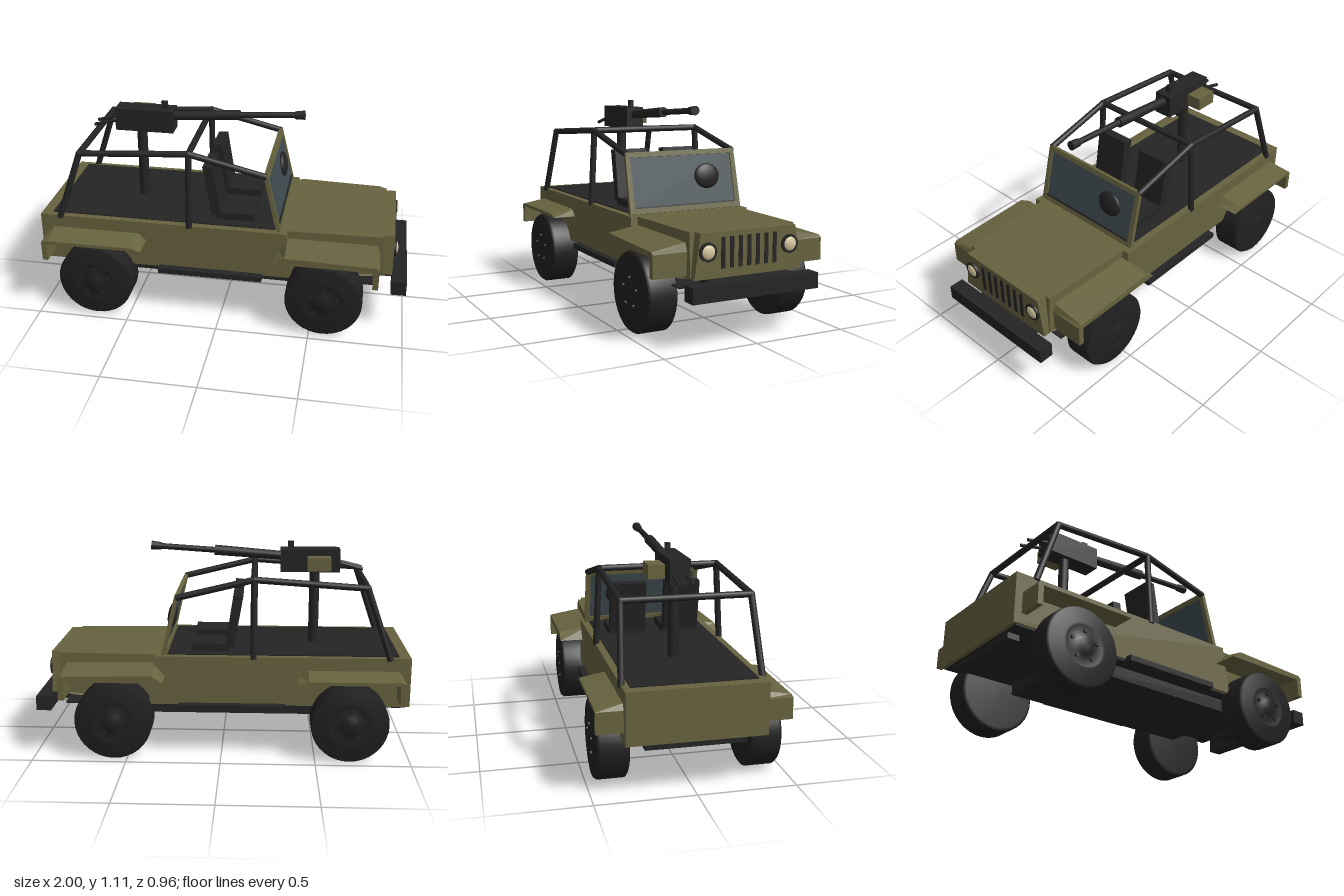
import * as THREE from 'three';

const mat = (name, color) => Object.assign(new THREE.MeshStandardMaterial({ color }), { name });

export function createModel() {
  const olive = mat('olive paint', 0x67633f);
  const dark = mat('black metal', 0x242424);
  const rubber = mat('tyre rubber', 0x202020);
  const glassTint = mat('tinted glass', 0x3f4c50);
  const cream = mat('lamp cream', 0xd8c8a0);
  const model = new THREE.Group();
  model.name = 'offRoadVehicle';

  const add = (name, geo, material, x = 0, y = 0, z = 0) => {
    const m = new THREE.Mesh(geo, material);
    m.name = name;
    m.position.set(x, y, z);
    model.add(m);
    return m;
  };
  // Box given by its limits on each axis
  const box = (name, material, x0, x1, y0, y1, z0, z1) =>
    add(name, new THREE.BoxGeometry(x1 - x0, y1 - y0, z1 - z0), material, (x0 + x1) / 2, (y0 + y1) / 2, (z0 + z1) / 2);
  // Side profile (x, y) extruded from z0 to z1, with an optional rule that moves its corners
  const slab = (name, material, pts, z0, z1, rule) => {
    const shape = new THREE.Shape(pts.map(([x, y]) => new THREE.Vector2(x, y)));
    const geo = new THREE.ExtrudeGeometry(shape, { depth: z1 - z0, bevelEnabled: false }).translate(0, 0, z0);
    if (rule) {
      const p = geo.attributes.position;
      const v = new THREE.Vector3();
      for (let i = 0; i < p.count; i++) {
        rule(v.fromBufferAttribute(p, i));
        p.setXYZ(i, v.x, v.y, v.z);
      }
      geo.computeVertexNormals();
    }
    return add(name, geo, material);
  };
  // Round bar between two points
  const bar = (name, material, a, b, r0, r1 = r0) => {
    const from = new THREE.Vector3(...a), to = new THREE.Vector3(...b);
    const dir = to.clone().sub(from);
    const m = add(name, new THREE.CylinderGeometry(r1, r0, dir.length(), 14), material);
    m.position.copy(from).add(to).multiplyScalar(0.5);
    m.quaternion.setFromUnitVectors(new THREE.Vector3(0, 1, 0), dir.normalize());
    return m;
  };

  // Body tub, hood and grille panel
  slab('bodyTub', olive, [[-1, 0.275], [0.39, 0.275], [0.355, 0.54], [-1, 0.54]], -0.352, 0.352, v => {
    if (v.x < -0.9) v.z *= 0.985;
  });
  slab('hood', olive, [[0.33, 0.275], [0.8, 0.31], [0.885, 0.325], [0.865, 0.54], [0.33, 0.54]], -0.315, 0.315, v => {
    if (v.x > 0.82) v.z *= 0.96;
    if (v.y > 0.5 && v.x > 0.8) v.z *= 0.98;
  });
  slab('grillePanel', olive, [[0.86, 0.32], [0.92, 0.32], [0.92, 0.54], [0.86, 0.54]], -0.3, 0.3, v => {
    if (v.y > 0.5) v.z *= 0.89;
  });
  for (let i = -3; i <= 3; i++) {
    const z = i * 0.0485;
    box('grilleSlot', dark, 0.918, 0.925, 0.365, 0.515, z - 0.01, z + 0.01);
  }

  // Underside, chassis, bumpers and deck
  box('underbodyPlate', dark, -0.98, 0.84, 0.268, 0.276, -0.335, 0.335);
  box('chassis', dark, -0.62, 0.52, 0.2, 0.27, -0.265, 0.265);
  box('frontBumper', dark, 0.92, 1, 0.23, 0.308, -0.352, 0.352);
  box('bumperMount', dark, 0.8, 0.93, 0.25, 0.3, -0.2, 0.2);
  box('rearBumper', dark, -0.97, -0.905, 0.237, 0.272, -0.25, 0.25);
  box('deck', dark, -0.94, 0.29, 0.536, 0.545, -0.312, 0.312);

  // Seats
  for (const z of [-0.15, 0.15]) {
    box('seatCushion', dark, -0.04, 0.165, 0.545, 0.585, z - 0.097, z + 0.097);
    slab('seatBack', dark, [[-0.065, 0.57], [-0.015, 0.56], [-0.06, 0.85], [-0.113, 0.845]], z - 0.097, z + 0.097);
  }

  for (const s of [-1, 1]) {
    const zRange = (a, b) => (s > 0 ? [a, b] : [-b, -a]);
    // Fenders, sloping down to the outside
    const slope = v => {
      if (Math.abs(v.z) > 0.4 && v.y > 0.46) v.y -= 0.03;
    };
    slab('frontFender', olive, [[0.3, 0.43], [0.82, 0.43], [0.82, 0.33], [0.85, 0.33], [0.85, 0.445], [0.835, 0.488], [0.36, 0.5]],
      ...zRange(0.3, 0.48), slope);
    slab('rearFender', olive, [[-0.41, 0.43], [-0.46, 0.478], [-0.93, 0.478], [-0.96, 0.44], [-0.96, 0.33], [-0.93, 0.33], [-0.93, 0.43]],
      ...zRange(0.3, 0.48), slope);
    box('sideStep', dark, -0.34, 0.23, 0.255, 0.285, ...zRange(0.33, 0.39));

    // Headlights
    add('lampRing', new THREE.CylinderGeometry(0.046, 0.046, 0.022, 24), dark, 0.921, 0.45, s * 0.23).rotation.z = -Math.PI / 2;
    add('lampLens', new THREE.SphereGeometry(0.038, 20, 12), cream, 0.925, 0.45, s * 0.23).scale.x = 0.45;

    // Wheels with stepped rim, hub and lugs
    for (const x of [-0.68, 0.57]) {
      const profile = [[0, 0.3], [0.19, 0.3], [0.206, 0.312], [0.206, 0.445], [0.195, 0.46], [0.125, 0.46], [0.115, 0.47],
        [0.105, 0.462], [0.05, 0.462], [0.045, 0.478], [0, 0.478]];
      const tyre = add('wheel', new THREE.LatheGeometry(profile.map(([r, h]) => new THREE.Vector2(r, h)), 36), rubber, x, 0.206, 0);
      tyre.rotation.x = s * Math.PI / 2;
      for (let i = 0; i < 5; i++) {
        const a = (i / 5) * Math.PI * 2 + Math.PI / 2;
        const lug = add('wheelLug', new THREE.CylinderGeometry(0.01, 0.01, 0.014, 8), dark,
          x + 0.075 * Math.cos(a), 0.206 + 0.075 * Math.sin(a), s * 0.466);
        lug.rotation.x = Math.PI / 2;
      }
    }

    // Roll cage sides
    const rearTop = [-0.76, 0.91, s * 0.322], midTop = [-0.17, 0.95, s * 0.322];
    bar('cageRearLeg', dark, [-0.89, 0.53, s * 0.345], rearTop, 0.017);
    bar('cageRearRail', dark, rearTop, midTop, 0.017);
    bar('cageFrontRail', dark, midTop, [0.24, 0.85, s * 0.32], 0.017);
    bar('cageMiddlePost', dark, [-0.17, 0.53, s * 0.345], midTop, 0.017);
    for (const p of [rearTop, midTop]) add('cageJoint', new THREE.SphereGeometry(0.018, 12, 8), dark, ...p);
  }
  bar('cageRearCrossbar', dark, [-0.76, 0.91, -0.322], [-0.76, 0.91, 0.322], 0.017);
  bar('cageMiddleCrossbar', dark, [-0.17, 0.95, -0.322], [-0.17, 0.95, 0.322], 0.017);

  // Windshield, leaning back
  const frame = new THREE.Shape([[-0.335, 0], [0.335, 0], [0.33, 0.325], [-0.33, 0.325]].map(p => new THREE.Vector2(...p)));
  frame.holes.push(new THREE.Path([[-0.305, 0.03], [-0.305, 0.298], [0.305, 0.298], [0.305, 0.03]].map(p => new THREE.Vector2(...p))));
  const shield = new THREE.Group();
  shield.name = 'windshield';
  const frameMesh = add('windshieldFrame', new THREE.ExtrudeGeometry(frame, { depth: 0.022, bevelEnabled: false }), olive, 0, 0, -0.011);
  const pane = add('windshieldGlass', new THREE.BoxGeometry(0.612, 0.27, 0.006), glassTint, 0, 0.164, 0);
  const strip = add('windshieldSeal', new THREE.BoxGeometry(0.61, 0.008, 0.009), dark, 0, 0.032, 0.008);
  shield.add(frameMesh, pane, strip);
  shield.position.set(0.31, 0.542, 0);
  shield.rotation.set(0, Math.PI / 2, 0);
  shield.rotateX(-0.23);
  model.add(shield);
  const disc = add('windshieldDisc', new THREE.SphereGeometry(0.076, 24, 14), dark, 0.275, 0.718, -0.145);
  disc.scale.set(0.32, 0.9, 1);
  disc.rotation.z = 0.15;

  // Roof mount: post, receiver, barrel, grips and side box
  bar('mountPost', dark, [-0.5, 0.54, 0], [-0.5, 0.96, 0], 0.028);
  box('receiver', dark, -0.635, -0.312, 0.943, 1.068, -0.052, 0.052);
  box('rearSight', dark, -0.383, -0.352, 1.06, 1.108, -0.012, 0.012);
  box('sideBox', olive, -0.58, -0.455, 0.965, 1.035, -0.147, -0.062);
  bar('barrelJacket', dark, [-0.32, 1.027, 0], [0.05, 1.055, 0], 0.024, 0.028);
  bar('barrel', dark, [0.04, 1.054, 0], [0.37, 1.076, 0], 0.016);
  bar('muzzle', dark, [0.345, 1.074, 0], [0.4, 1.078, 0], 0.021, 0.025);
  for (const z of [-0.035, 0.035]) bar('grip', dark, [-0.62, 0.996, z], [-0.76, 0.96, z], 0.009);

  return model;
}
